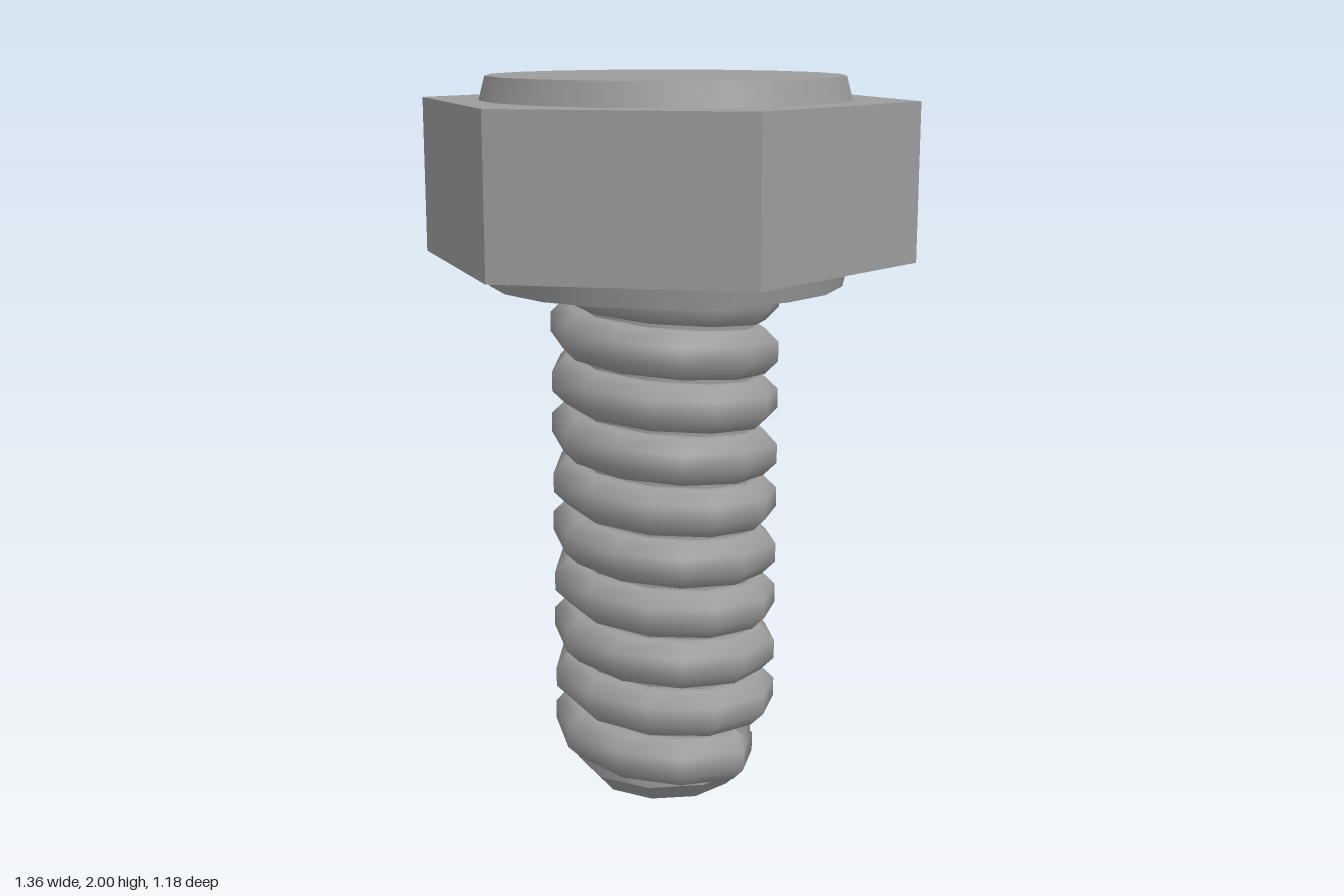
import * as THREE from 'three';

const STEEL = 0x9c9c9c;

function part(name, geometry, y, flatShading = false) {
  const mesh = new THREE.Mesh(geometry, new THREE.MeshStandardMaterial({ color: STEEL, flatShading }));
  mesh.name = name;
  mesh.position.y = y;
  return mesh;
}

// Helical ridge: an octagonal section swept around the shank, sinking into it at the start.
function threadGeometry({ radius, size, pitch, startY, turns, stepsPerTurn }) {
  const sides = 8;
  const steps = Math.round(turns * stepsPerTurn);
  const positions = [];
  const index = [];
  for (let i = 0; i <= steps; i++) {
    const angle = 0.03 + (i / stepsPerTurn) * Math.PI * 2;
    const y = startY + (angle / (Math.PI * 2)) * pitch;
    const centre = i === 0 ? radius - 0.06 : radius;
    for (let j = 0; j < sides; j++) {
      const t = ((j + 0.5) / sides) * Math.PI * 2;
      const r = centre + size * Math.cos(t);
      positions.push(r * Math.cos(angle), y + size * Math.sin(t), r * Math.sin(angle));
    }
  }
  for (let i = 0; i < steps; i++) {
    for (let j = 0; j < sides; j++) {
      const k = (j + 1) % sides;
      const a = i * sides + j, b = i * sides + k;
      const c = a + sides, d = b + sides;
      index.push(a, b, c, b, d, c);
    }
  }
  // End caps
  const last = steps * sides;
  for (let j = 1; j < sides - 1; j++) {
    index.push(0, j + 1, j, last, last + j, last + j + 1);
  }
  const geometry = new THREE.BufferGeometry();
  geometry.setAttribute('position', new THREE.Float32BufferAttribute(positions, 3));
  geometry.setIndex(index);
  geometry.computeVertexNormals();
  return geometry;
}

export function createModel() {
  const bolt = new THREE.Group();
  bolt.name = 'hexBolt';

  // Head: hexagonal prism with corners on the x axis
  const hex = new THREE.CylinderGeometry(0.682, 0.682, 0.425, 6);
  hex.rotateY(Math.PI / 6);
  bolt.add(part('hexHead', hex, 1.7235, true));

  // Raised round faces above and below the head
  const collar = (name, top, bottom, height, y) => {
    const geometry = new THREE.CylinderGeometry(top, bottom, height, 18);
    geometry.rotateY(Math.PI / 2);
    geometry.scale(1, 1, 0.975);
    bolt.add(part(name, geometry, y));
  };
  collar('topFace', 0.486, 0.503, 0.064, 1.968);
  collar('washerFace', 0.503, 0.486, 0.07, 1.477);

  // Shank with a chamfered tip, and the thread around it
  const shaft = new THREE.Group();
  shaft.name = 'shaft';
  shaft.position.z = 0.012;
  shaft.add(part('shank', new THREE.CylinderGeometry(0.253, 0.253, 1.42, 10), 0.765));
  shaft.add(part('tipChamfer', new THREE.CylinderGeometry(0.253, 0.203, 0.055, 10), 0.0275));
  shaft.add(part('thread', threadGeometry({
    radius: 0.253, size: 0.07, pitch: 0.1435, startY: 0.112, turns: 9.5, stepsPerTurn: 10.5,
  }), 0));
  bolt.add(shaft);

  return bolt;
}
